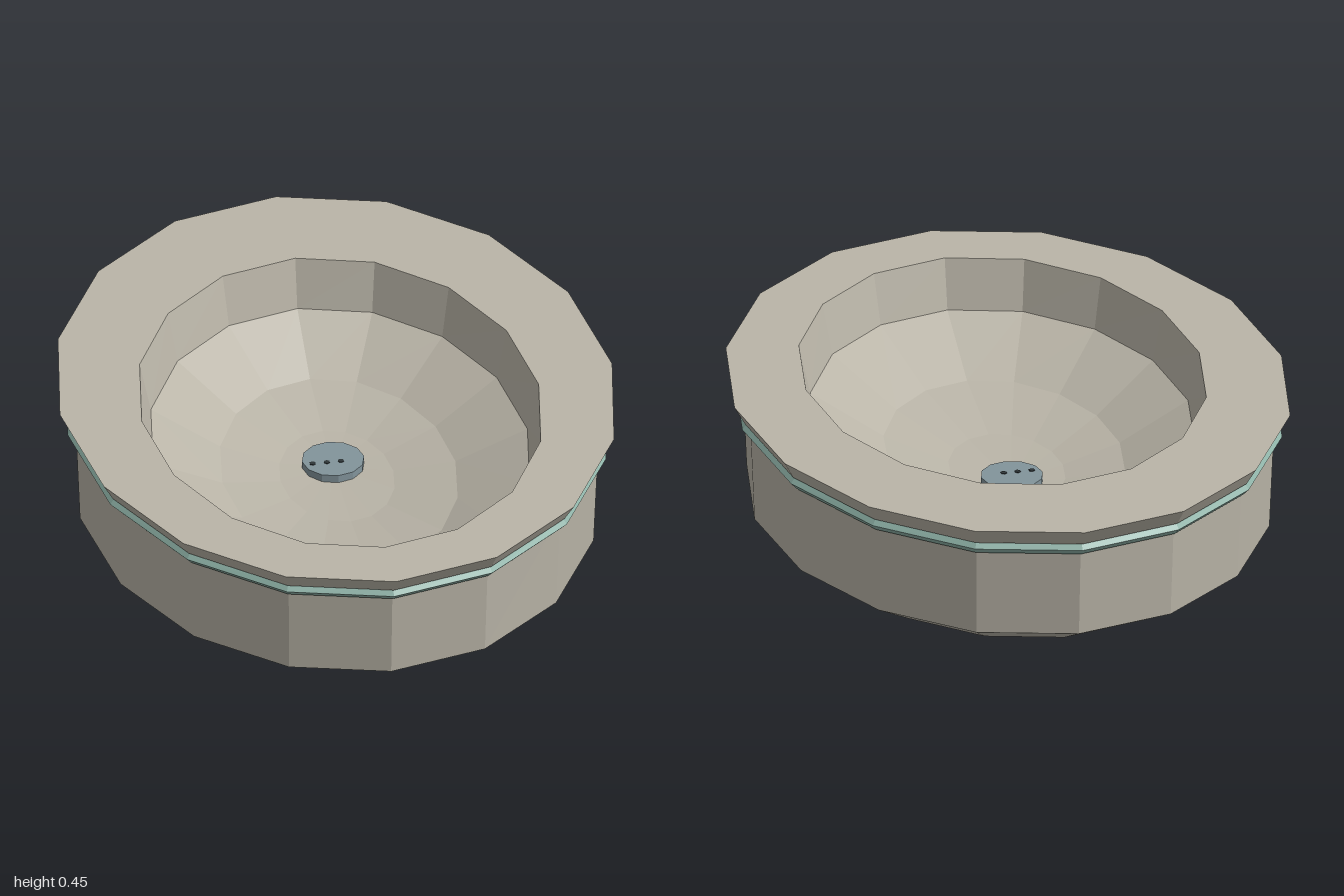
import * as THREE from 'three';

const SIDES = 16;
const material = (name, color) => {
  const m = new THREE.MeshStandardMaterial({ color, flatShading: true });
  m.name = name;
  return m;
};

// Faceted skin over elliptical rings [radiusX, y, radiusZ, centreZ].
// Rings run up the outside, so the same order continues over the lip and down inside.
function loft(rings) {
  const positions = [];
  const point = ([rx, y, rz, cz = 0], j) => {
    const a = (j / SIDES) * Math.PI * 2;
    return [rx * Math.sin(a), y, rz * Math.cos(a) + cz];
  };
  for (let i = 0; i < rings.length - 1; i++) {
    const low = rings[i], high = rings[i + 1];
    for (let j = 0; j < SIDES; j++) {
      const a = point(low, j), b = point(low, j + 1);
      const c = point(high, j + 1), d = point(high, j);
      if (low[0] > 0) positions.push(...a, ...b, ...c);
      if (high[0] > 0) positions.push(...a, ...c, ...d);
    }
  }
  const geometry = new THREE.BufferGeometry();
  geometry.setAttribute('position', new THREE.Float32BufferAttribute(positions, 3));
  geometry.computeVertexNormals();
  return geometry;
}

export function createModel() {
  const group = new THREE.Group();
  group.name = 'ovalBasin';
  const stone = material('stone', 0xbab5a8);
  const glaze = material('tealGlaze', 0x8fb3a8);
  const metal = material('drainMetal', 0x82949b);
  const dark = material('drainHoleDark', 0x2e3538);

  const add = (name, geometry, mat, x = 0, y = 0, z = 0) => {
    const mesh = new THREE.Mesh(geometry, mat);
    mesh.name = name;
    mesh.position.set(x, y, z);
    group.add(mesh);
  };

  // Flat base, bevelled foot and nearly upright wall
  add('body', loft([
    [0, 0, 0],
    [0.565, 0, 0.73],
    [0.725, 0.1, 0.92],
    [0.737, 0.4, 0.943],
  ]), stone);

  // Diamond-section band under the rim
  add('band', loft([
    [0.73, 0.36, 0.935],
    [0.742, 0.36, 0.948],
    [0.76, 0.38, 0.968],
    [0.745, 0.398, 0.955],
    [0.73, 0.398, 0.935],
  ]), glaze);

  // Flared rim with its flat top, open to the off-centre bowl
  add('rim', loft([
    [0.73, 0.397, 0.935],
    [0.752, 0.397, 0.962],
    [0.782, 0.45, 1],
    [0.562, 0.45, 0.75, 0.07],
  ]), stone);

  // Steep inner wall, then a shallow bowl leaning towards the drain
  add('bowl', loft([
    [0.562, 0.45, 0.75, 0.07],
    [0.53, 0.305, 0.715, 0.07],
    [0.33, 0.205, 0.483, 0.048],
    [0.16, 0.17, 0.235, 0.015],
    [0, 0.16, 0, -0.05],
  ]), stone);

  // Drain cover with a row of small holes
  add('drain', new THREE.CylinderGeometry(0.088, 0.088, 0.028, 12), metal, 0, 0.172, -0.05);
  for (const x of [-0.06, -0.02, 0.02]) {
    add('drainHole', new THREE.CylinderGeometry(0.009, 0.009, 0.004, 6), dark, x, 0.186, -0.035);
  }
  return group;
}
